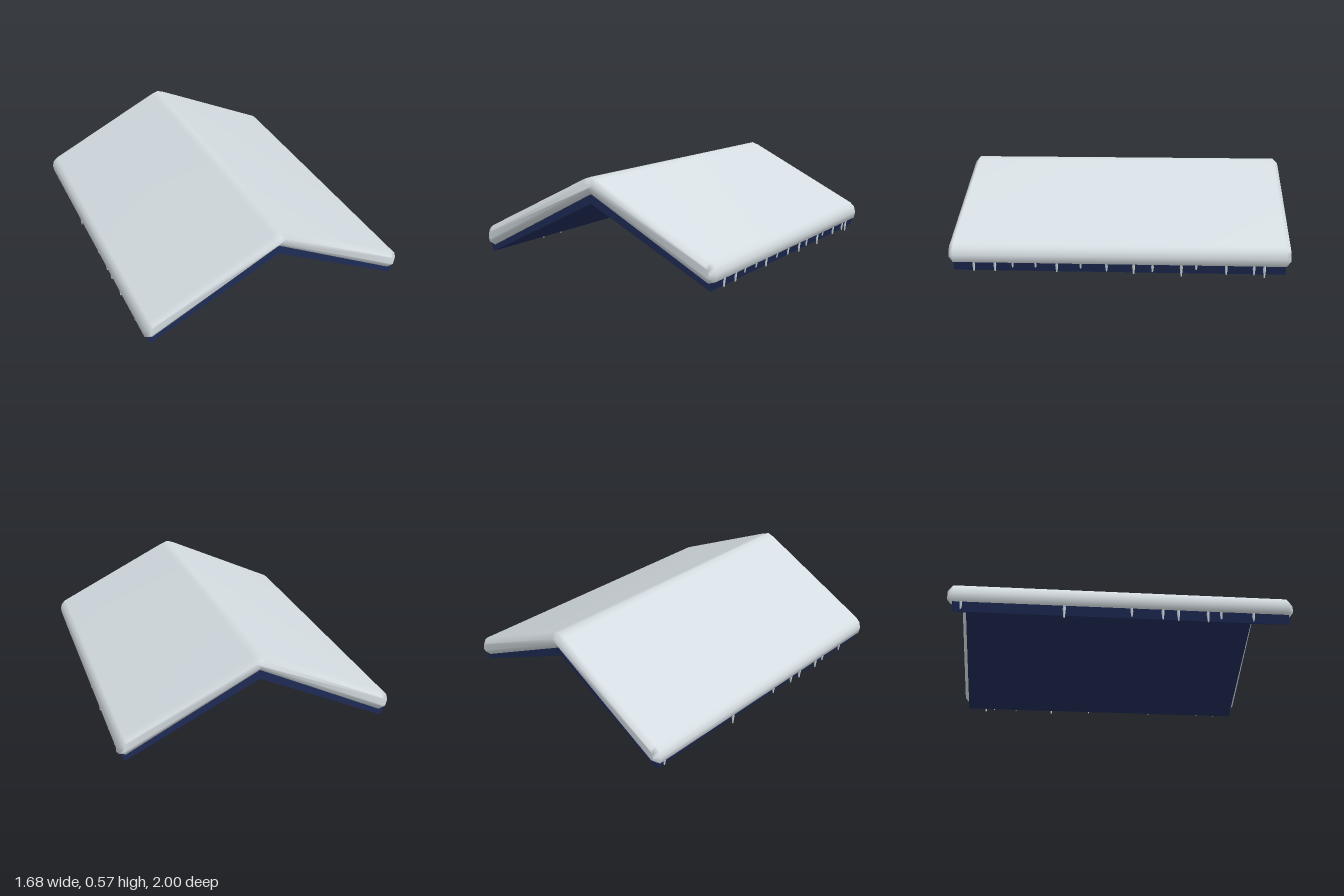
import * as THREE from 'three';
import { mergeVertices } from 'three/addons/utils/BufferGeometryUtils.js';

const snowMat = new THREE.MeshStandardMaterial({ color: 0xd5dde2 });
snowMat.name = 'snow';
const iceMat = new THREE.MeshStandardMaterial({ color: 0xccd6da });
iceMat.name = 'ice';
const roofMat = new THREE.MeshStandardMaterial({ color: 0x1f2b57 });
roofMat.name = 'navy roof';

// Closed gable outline from its right half, listed from the upper ridge to the lower ridge
function gableShape(half) {
  const left = half.slice(1, -1).reverse().map(([x, y]) => [-x, y]);
  return new THREE.Shape([...half, ...left].map(([x, y]) => new THREE.Vector2(x, y)));
}

function addMesh(group, name, geometry, material) {
  const mesh = new THREE.Mesh(geometry, material);
  mesh.name = name;
  group.add(mesh);
  return mesh;
}

export function createModel() {
  const group = new THREE.Group();
  group.name = 'snowyRoof';

  // Sharp-edged roof boards
  const roof = new THREE.ExtrudeGeometry(
    gableShape([[0, 0.49], [0.822, 0.075], [0.8, 0.02], [0, 0.41]]),
    { depth: 1.94, bevelEnabled: false });
  roof.translate(0, 0, -0.97);
  addMesh(group, 'roofBoards', roof, roofMat);

  // Soft snow blanket with chamfered gable ends and smooth normals
  const raw = new THREE.ExtrudeGeometry(
    gableShape([[0, 0.535], [0.035, 0.523], [0.785, 0.16], [0.803, 0.143],
      [0.81, 0.12], [0.806, 0.1], [0.79, 0.095], [0, 0.5]]),
    { depth: 1.94, bevelEnabled: true, bevelThickness: 0.03, bevelSize: 0.03, bevelSegments: 1 });
  raw.deleteAttribute('normal');
  raw.deleteAttribute('uv');
  const snow = mergeVertices(raw, 1e-4);
  snow.computeVertexNormals();
  snow.translate(0, 0, -0.97);
  addMesh(group, 'snowBlanket', snow, snowMat);

  // Icicles along each eave: [z, height of the tip]
  const eaves = {
    left: [[0.85, 0.02], [0.725, 0.02], [0.62, 0.045], [0.485, 0.045], [0.36, 0.02],
      [0.22, 0.045], [0.068, 0.03], [-0.09, 0.015], [-0.2, 0.03], [-0.367, 0.005],
      [-0.453, 0.045], [-0.627, 0.02], [-0.787, 0.02], [-0.847, 0.005]],
    right: [[0.76, 0.025], [0.57, 0.03], [0.493, 0.01], [0.32, 0.01], [0.23, 0.015],
      [0.05, 0.025], [-0.337, 0], [-0.92, 0.03]],
  };
  for (const [side, list] of Object.entries(eaves)) {
    const icicles = new THREE.Group();
    icicles.name = side + 'Icicles';
    for (const [z, tip] of list) {
      const length = 0.085 - tip;
      const cone = new THREE.CylinderGeometry(0.012, 0.004, length, 6);
      addMesh(icicles, 'icicle', cone, iceMat)
        .position.set(side === 'left' ? 0.815 : -0.815, tip + length / 2, z);
    }
    group.add(icicles);
  }
  return group;
}
